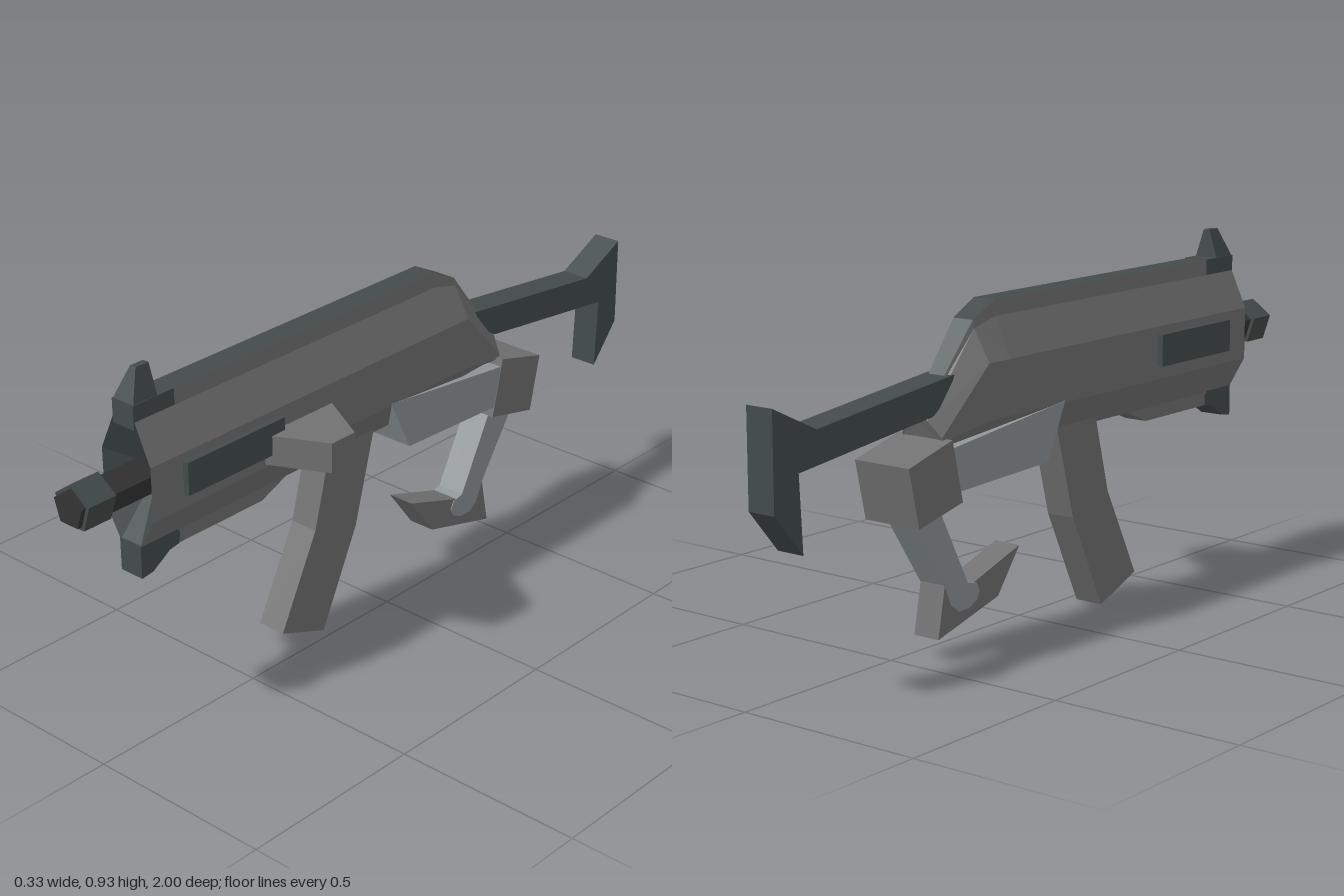
import * as THREE from 'three';

const mat = (name, color) => {
  const m = new THREE.MeshStandardMaterial({ color });
  m.name = name;
  return m;
};

// Joins rings of [x, y, z] points into a closed faceted solid, facing outwards.
// pick(ring, side) gives the material index of each quad.
function loft(rings, pick = () => 0) {
  const tris = [], mats = [];
  const add = (a, b, c, m) => { tris.push([a, b, c]); mats.push(m); };
  const n = rings[0].length, last = rings.length - 1;
  for (let i = 0; i < last; i++) {
    for (let j = 0; j < n; j++) {
      const k = (j + 1) % n, m = pick(i, j);
      add(rings[i][j], rings[i + 1][j], rings[i + 1][k], m);
      add(rings[i][j], rings[i + 1][k], rings[i][k], m);
    }
  }
  for (let j = 1; j < n - 1; j++) {
    add(rings[0][0], rings[0][j], rings[0][j + 1], 0);
    add(rings[last][0], rings[last][j + 1], rings[last][j], 0);
  }
  const v = (p) => new THREE.Vector3(...p);
  const volume = tris.reduce((s, [a, b, c]) => s + v(a).dot(v(b).cross(v(c))), 0);
  const pos = [];
  for (const [a, b, c] of tris) pos.push(...a, ...(volume > 0 ? [...b, ...c] : [...c, ...b]));
  const g = new THREE.BufferGeometry();
  g.setAttribute('position', new THREE.Float32BufferAttribute(pos, 3));
  mats.forEach((m, i) => g.addGroup(i * 3, 3, m));
  g.computeVertexNormals();
  return g;
}

// Extrudes a side outline of [z, y] points across x, centred.
function slab(points, halfWidth) {
  const shape = new THREE.Shape(points.map(([z, y]) => new THREE.Vector2(-z, y)));
  const g = new THREE.ExtrudeGeometry(shape, { depth: halfWidth * 2, bevelEnabled: false });
  return g.rotateY(Math.PI / 2).translate(-halfWidth, 0, 0);
}

// Rectangular ring at height y.
const rect = (y, w, z0, z1) => [[w, y, z0], [w, y, z1], [-w, y, z1], [-w, y, z0]];

// Completes half a cross-section by mirroring it in x.
const mirrored = (half) => [...half, ...half.map(([x, y, z]) => [-x, y, z]).reverse()];

export function createModel() {
  const grey = mat('grey casing', 0x727272);
  const slate = mat('dark slate', 0x434c4b);
  const light = mat('pale metal', 0x8e9598);
  const dark = mat('dark metal', 0x343434);
  const green = mat('green display', 0x2fdc4a);
  grey.flatShading = slate.flatShading = light.flatShading = dark.flatShading = true;

  const model = new THREE.Group();
  model.name = 'blaster';
  const core = new THREE.Group();
  core.name = 'blasterParts';
  core.position.x = -0.066;
  model.add(core);
  const add = (name, geometry, material) => {
    const m = new THREE.Mesh(geometry, material);
    m.name = name;
    core.add(m);
    return m;
  };

  // Casing: recessed muzzle funnel, long faceted hull, tapered rear
  const section = (z) => mirrored([
    [0.033, 0.86, z], [0.035, 0.82, z], [0.081, 0.72, z], [0.081, 0.58, z], [0.033, 0.495, z],
  ]);
  const casing = loft([
    Array.from({ length: 10 }, () => [0, 0.66, 0.72]),
    section(0.82),
    section(-0.22),
    mirrored([[0.03, 0.82, -0.3], [0.034, 0.8, -0.3], [0.081, 0.72, -0.3],
      [0.081, 0.58, -0.3], [0.033, 0.495, -0.3]]),
    mirrored([[0.018, 0.61, -0.47], [0.03, 0.6, -0.47], [0.062, 0.56, -0.455],
      [0.062, 0.55, -0.45], [0.033, 0.53, -0.44]]),
  ], (ring, side) => (ring === 0 || side === 9 ? 1 : 0));
  add('casing', casing, [grey, slate]);

  // Under rail and its front lug
  add('underRail', slab([[0.72, 0.51], [0.72, 0.46], [0.42, 0.46], [0.33, 0.497], [0.33, 0.51]], 0.033), grey);
  add('frontLug', slab([[0.821, 0.5], [0.821, 0.415], [0.785, 0.42], [0.73, 0.455],
    [0.7, 0.46], [0.695, 0.49], [0.705, 0.5]], 0.035), slate);

  // Front sight
  add('sightBase', loft([rect(0.8, 0.035, 0.72, 0.822), rect(0.815, 0.035, 0.695, 0.822),
    rect(0.862, 0.035, 0.695, 0.822)]), slate);
  add('sightPost', loft([rect(0.86, 0.034, 0.745, 0.82), rect(0.937, 0.009, 0.745, 0.785)]), slate);

  // Five-sided barrel with collar
  const tube = (name, radius, z0, z1, material) => {
    const g = new THREE.CylinderGeometry(radius, radius, z1 - z0, 5);
    g.rotateY(Math.PI).rotateX(Math.PI / 2);
    const p = g.attributes.position;
    let top = -1;
    for (let i = 0; i < p.count; i++) top = Math.max(top, p.getY(i));
    if (top < radius * 0.99) g.rotateZ(Math.PI);
    add(name, g.translate(0, 0.658, (z0 + z1) / 2), material);
  };
  tube('barrel', 0.049, 0.68, 1, dark);
  tube('barrelCollar', 0.06, 0.905, 0.987, slate);

  // Vent slats on both sides
  for (const s of [1, -1]) {
    const slat = add(s > 0 ? 'leftSlat' : 'rightSlat', new THREE.BoxGeometry(0.03, 0.085, 0.32), slate);
    slat.position.set(s * 0.083, 0.658, 0.56);
  }

  // Side sight unit with a display on its slanted rear face
  const wedge = (y) => [[0.07, y, 0.458], [0.231, y, 0.38], [0.231, y, 0.3], [0.07, y, 0.212]];
  add('sideUnit', loft([wedge(0.588), wedge(0.667)]), grey);
  const angle = Math.atan2(0.088, 0.161);
  const plate = (name, t, length, height, lift, material) => {
    const p = add(name, new THREE.BoxGeometry(length, height, 0.004), material);
    p.rotation.y = -angle;
    p.position.set(0.07 + 0.161 * t + lift * Math.sin(angle), 0.6275,
      0.212 + 0.088 * t - lift * Math.cos(angle));
  };
  plate('displayFrame', 0.54, 0.155, 0.068, 0.001, dark);
  plate('display', 0.62, 0.09, 0.052, 0.003, green);

  // Magazine
  add('magazine', slab([[0.185, 0.51], [0.24, 0.305], [0.365, 0.06], [0.215, 0.003],
    [0.09, 0.26], [0.02, 0.51]], 0.04), grey);

  // Rear housing and hinge block
  add('rearHousing', slab([[0, 0.585], [-0.07, 0.44], [-0.42, 0.427], [-0.45, 0.535]], 0.082), light);
  add('hingeBlock', slab([[-0.442, 0.557], [-0.405, 0.4], [-0.565, 0.364], [-0.6, 0.515]], 0.0835), grey);

  // Grip strut with rounded lower end, and trigger foot
  add('gripStrut', slab([[-0.46, 0.42], [-0.56, 0.4], [-0.42, 0.19], [-0.395, 0.135], [-0.37, 0.115],
    [-0.33, 0.115], [-0.3, 0.13], [-0.29, 0.15], [-0.3, 0.172], [-0.335, 0.18]], 0.04), light);
  add('gripFoot', slab([[-0.13, 0.233], [-0.215, 0.12], [-0.445, 0.06], [-0.418, 0.2],
    [-0.39, 0.15], [-0.32, 0.172]], 0.038), grey);

  // Shoulder stock
  add('stock', slab([[-0.38, 0.7], [-0.4, 0.65], [-0.46, 0.61], [-0.92, 0.555], [-0.91, 0.365],
    [-1, 0.472], [-1, 0.713], [-0.86, 0.645]], 0.039), slate);

  return model;
}
